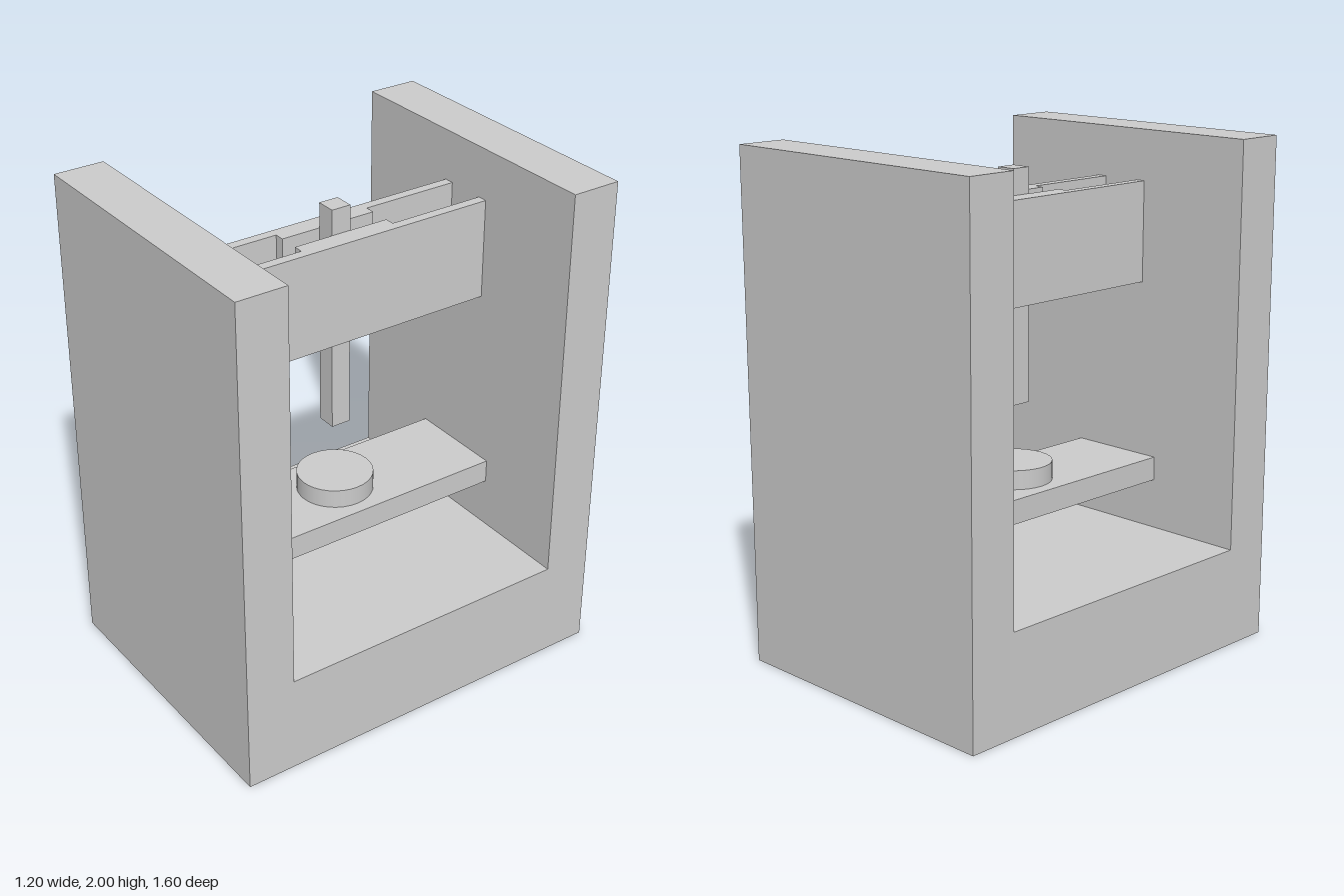
import * as THREE from 'three';

const material = new THREE.MeshStandardMaterial({ color: 0xcccccc });

// Closed shape from a short list of corners, extruded by depth
function extrude(corners, depth) {
  const shape = new THREE.Shape(corners.map(([x, y]) => new THREE.Vector2(x, y)));
  return new THREE.ExtrudeGeometry(shape, { depth, bevelEnabled: false });
}

export function createModel() {
  const model = new THREE.Group();
  model.name = 'press';

  function add(name, geometry, y = 0) {
    const mesh = new THREE.Mesh(geometry, material);
    mesh.name = name;
    mesh.position.y = y;
    model.add(mesh);
    return mesh;
  }

  // U-shaped frame: base with a tall wall at front and back
  const frame = extrude([
    [-0.8, 0], [0.8, 0], [0.8, 2], [0.6, 2],
    [0.6, 0.4], [-0.6, 0.4], [-0.6, 2], [-0.8, 2],
  ], 1.2);
  frame.translate(0, 0, -0.6).rotateY(Math.PI / 2);
  add('frame', frame);

  // Shelf between the walls, with a round anvil on it
  add('shelf', new THREE.BoxGeometry(0.4, 0.095, 1.2), 0.6475);
  add('anvil', new THREE.CylinderGeometry(0.15, 0.15, 0.075, 32), 0.7325);

  // Pair of cross beams, each thickened in the middle to guide the ram
  const beam = extrude([
    [0.12, -0.6], [0.12, 0.6], [0.08, 0.6], [0.08, 0.2],
    [0.04, 0.2], [0.04, -0.2], [0.08, -0.2], [0.08, -0.6],
  ], 0.4);
  beam.rotateX(-Math.PI / 2);
  add('leftBeam', beam, 1.4);
  add('rightBeam', beam, 1.4).rotation.y = Math.PI;

  // Square ram sliding between the beams
  add('ram', new THREE.BoxGeometry(0.08, 0.9, 0.08), 1.45);

  return model;
}
